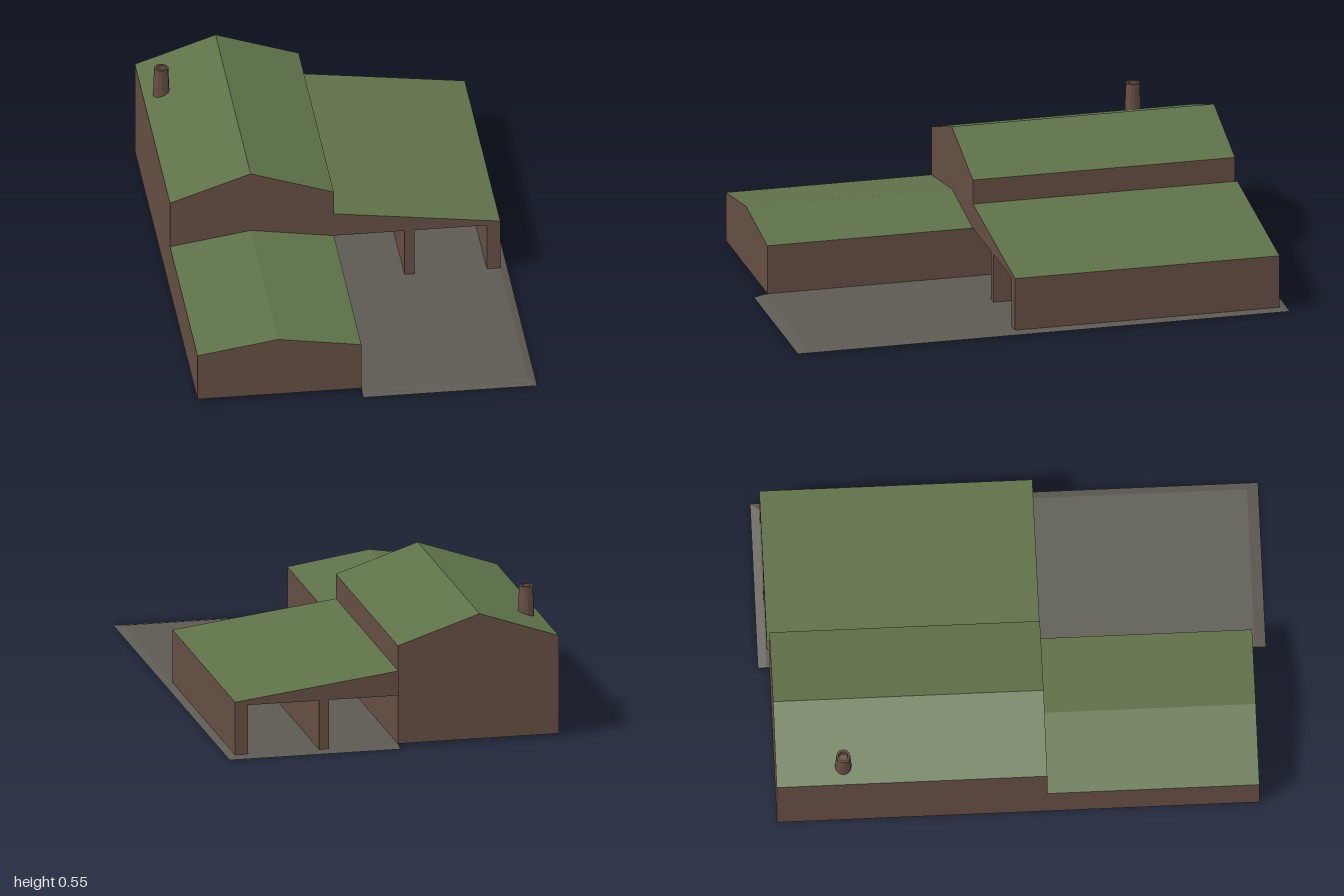
import * as THREE from 'three';

const mat = (name, color) => {
  const m = new THREE.MeshStandardMaterial({ color, side: THREE.DoubleSide });
  m.name = name;
  return m;
};

export function createModel() {
  const wall = mat('brown wall', 0x654e43);
  const roof = mat('green roof', 0x5f7249);
  const paving = mat('grey paving', 0x5c5a52);

  const model = new THREE.Group();
  model.name = 'house';

  const add = (name, geometry, material) => {
    const mesh = new THREE.Mesh(geometry, material);
    mesh.name = name;
    model.add(mesh);
    return mesh;
  };

  // Flat strips swept along z; a profile running clockwise faces outward
  const strip = (name, profile, zBack, zFront, material) => {
    const p = [];
    for (let i = 0; i < profile.length - 1; i++) {
      const [ax, ay] = profile[i], [bx, by] = profile[i + 1];
      p.push(ax, ay, zFront, bx, by, zFront, bx, by, zBack);
      p.push(ax, ay, zFront, bx, by, zBack, ax, ay, zBack);
    }
    const g = new THREE.BufferGeometry();
    g.setAttribute('position', new THREE.Float32BufferAttribute(p, 3));
    g.computeVertexNormals();
    return add(name, g, material);
  };

  // Upright end wall at one z, facing front or back
  const endWall = (name, outline, z, back = false) => {
    const pts = outline.map(([x, y]) => new THREE.Vector2(back ? -x : x, y));
    const g = new THREE.ShapeGeometry(new THREE.Shape(pts));
    if (back) g.rotateY(Math.PI);
    g.translate(0, 0, z);
    return add(name, g, wall);
  };

  const L = -0.67, R = -0.02, ridge = -0.35, base = 0.01;
  const mid = 0.11, front = 0.945, back = -0.955;
  const lowRoof = [[L, 0.21], [ridge, 0.26], [R, 0.21]];
  const highRoof = [[L, 0.41], [ridge, 0.52], [R, 0.41]];

  // Low front wing
  strip('wingRoof', lowRoof, mid, front, roof);
  strip('wingLeftSideWall', [[R, 0.21], [R, base]], mid, front, wall);
  strip('wingRightSideWall', [[L, base], [L, 0.21]], mid, front, wall);
  endWall('wingFrontWall', [[L, base], ...lowRoof, [R, base]], front);

  // Tall main house, open to the wing below the step
  strip('mainRoof', highRoof, back, mid, roof);
  strip('mainLeftSideWall', [[R, 0.41], [R, base]], back, mid, wall);
  strip('mainRightSideWall', [[L, base], [L, 0.41]], back, mid, wall);
  endWall('mainFrontGable', [...highRoof, ...[...lowRoof].reverse()], mid);
  endWall('mainBackWall', [[L, base], ...highRoof, [R, base]], back, true);

  // Carport: lean-to roof on two long walls
  const eave = [0.64, 0.225], top = [R, 0.31], carBack = -0.965;
  const under = [
    eave, [0.64, base], [0.587, base], [0.587, 0.21], [0.3, 0.21],
    [0.3, base], [0.26, base], [0.26, 0.21], [R, 0.21],
  ];
  strip('carportRoof', [top, eave], carBack, mid, roof);
  strip('carportWalls', under, carBack, mid, wall);
  endWall('carportFront', [top, ...under], mid);
  endWall('carportBack', [top, ...under], carBack, true);

  // Driveway slab with bevelled outer edges
  const pad = new THREE.BoxGeometry(0.69, 0.01, 2).translate(0.325, 0.005, 0).toNonIndexed();
  const pos = pad.attributes.position;
  for (let i = 0; i < pos.count; i++) {
    if (pos.getY(i) < 0.005) continue;
    if (pos.getX(i) > 0.3) pos.setX(i, 0.64);
    pos.setZ(i, pos.getZ(i) > 0 ? 0.955 : -0.967);
  }
  pad.computeVertexNormals();
  add('driveway', pad, paving);

  // Tapered chimney pot with a hollow top
  const pot = new THREE.LatheGeometry([
    new THREE.Vector2(0.034, 0.4), new THREE.Vector2(0.028, 0.548),
    new THREE.Vector2(0.019, 0.548), new THREE.Vector2(0.019, 0.52),
    new THREE.Vector2(0, 0.52),
  ], 12).toNonIndexed();
  pot.computeVertexNormals();
  add('chimney', pot, wall).position.set(-0.6, 0, -0.69);

  return model;
}
